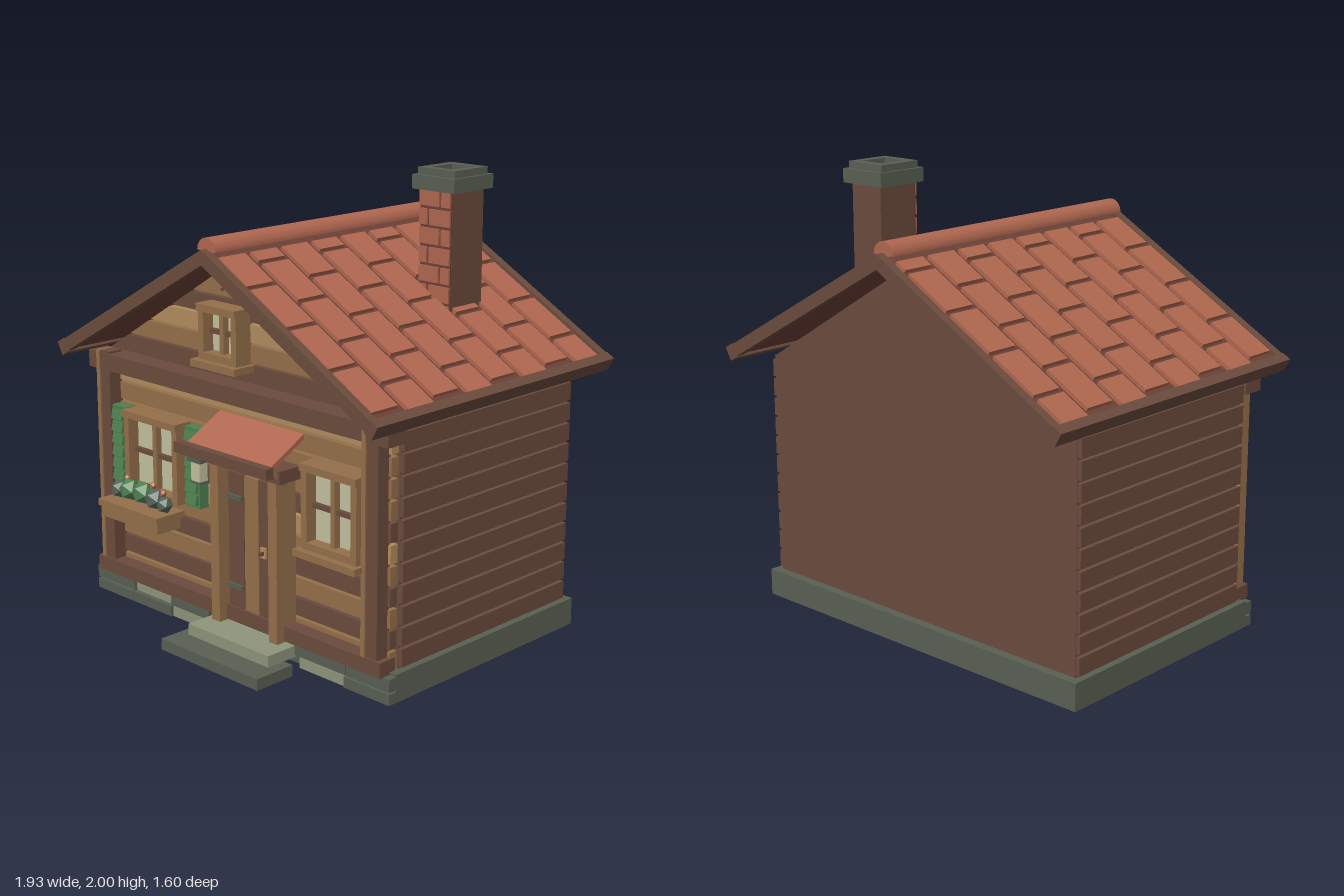
import * as THREE from 'three';

const mat = (name, color) => Object.assign(new THREE.MeshStandardMaterial({ color }), { name });

export function createModel() {
  const house = new THREE.Group();
  house.name = 'cottage';
  const M = {
    dark: mat('dark timber', 0x6b4b3d),
    tan: mat('tan timber', 0x94704a),
    light: mat('pale timber', 0xb08d5e),
    tile: mat('terracotta', 0xb0674f),
    deck: mat('roof underlay', 0x6b4038),
    stone: mat('dark stone', 0x596053),
    pale: mat('pale stone', 0x8f957b),
    green: mat('shutter green', 0x4e8050),
    glass: mat('window cream', 0xc4c19f),
    shrub: mat('shrub grey', 0x53645a),
  };
  const group = (name, parent = house) => {
    const g = new THREE.Group();
    g.name = name;
    parent.add(g);
    return g;
  };
  const add = (name, geo, m, parent = house) => {
    const mesh = new THREE.Mesh(geo, m);
    mesh.name = name;
    parent.add(mesh);
    return mesh;
  };
  // Box given by its limits along each axis
  const box = (name, m, x0, x1, y0, y1, z0, z1, parent) => {
    const mesh = add(name, new THREE.BoxGeometry(x1 - x0, y1 - y0, z1 - z0), m, parent);
    mesh.position.set((x0 + x1) / 2, (y0 + y1) / 2, (z0 + z1) / 2);
    return mesh;
  };
  // Flat outline in x and y, extruded between two depths
  const slab = (name, m, pts, z0, z1, parent) => {
    const shape = new THREE.Shape(pts.map(p => new THREE.Vector2(...p)));
    const mesh = add(name, new THREE.ExtrudeGeometry(shape, { depth: z1 - z0, bevelEnabled: false }), m, parent);
    mesh.position.z = z0;
    return mesh;
  };

  // Foundation, facing stones and steps
  box('foundation', M.stone, -0.91, 0.91, 0.005, 0.125, -0.64, 0.5);
  const stones = group('facingStones');
  [[-0.91, -0.65, 1, 0], [-0.645, -0.405, 1, 1], [-0.4, -0.15, 1, 0], [0.38, 0.67, 1, 0], [0.675, 0.91, 1, 0],
   [-0.91, -0.665, 0, 0], [-0.66, -0.4, 0, 0], [-0.395, -0.12, 0, 1], [0.4, 0.655, 0, 1], [0.66, 0.91, 0, 0]]
    .forEach(([a, b, row, pale]) => box('facingStone', pale ? M.pale : M.stone, a, b,
      row ? 0.06 : 0.005, row ? 0.115 : 0.052, 0.49, pale ? 0.53 : 0.54, stones));
  box('lowerStep', M.stone, -0.16, 0.43, 0, 0.05, 0.6, 0.8);
  box('upperStep', M.pale, -0.11, 0.38, 0.05, 0.1, 0.5, 0.69);

  // Wall core and gable core
  box('wallCore', M.dark, -0.875, 0.875, 0.12, 1.13, -0.6, 0.45);
  slab('gableCore', M.dark, [[-0.87, 1.13], [0.87, 1.13], [0, 1.66]], -0.6, 0.45);

  // Side boards
  const siding = group('sideBoards');
  for (const s of [-1, 1]) for (let i = 0; i < 11; i++) {
    const y = 0.135 + i * 0.0895;
    box('sideBoard', M.dark, s * 0.88 - 0.014, s * 0.88 + 0.014, y, y + 0.077, -0.597, 0.45, siding);
  }

  // Front boards, from the bottom up
  const boards = group('frontBoards');
  [M.tan, M.dark, M.tan, M.dark, M.tan, M.light, M.dark, M.tan, M.tan, M.tan, M.light].forEach((m, i) => {
    const y = 0.123 + i * 0.0895;
    box('frontBoard', m, -0.865, 0.865, y, y + 0.077, 0.44, 0.49, boards);
  });
  const half = y => 0.87 * (1.66 - y) / 0.53;
  [M.dark, M.tan, M.light, M.dark, M.tan, M.light].forEach((m, i) => {
    const y0 = 1.155 + i * 0.0855, y1 = Math.min(y0 + 0.076, 1.658);
    slab('gableBoard', m, [[-half(y0), y0], [half(y0), y0], [half(y1), y1], [-half(y1), y1]], 0.44, 0.49, boards);
  });
  for (const s of [-1, 1]) {
    const bar = box('gableChevron', M.dark, -0.032, 0.032, -0.006, 0.006, 0.485, 0.497);
    bar.position.x = -0.035 + s * 0.026;
    bar.position.y = 1.54;
    bar.rotation.z = -s * 0.6;
  }

  // Timber frame on the front
  box('sillBeam', M.dark, -0.875, 0.875, 0.115, 0.18, 0.47, 0.56);
  box('topBeam', M.dark, -0.905, 0.905, 1.065, 1.14, 0.45, 0.555);
  for (const s of [-1, 1]) {
    const x = s * 0.81;
    box('cornerPost', M.dark, x - 0.04, x + 0.04, 0.12, 1.15, 0.48, 0.55);
    box('cornerPostStrip', M.tan, x - 0.042, x - 0.02, 0.12, 1.15, 0.48, 0.557);
  }

  // Roof slopes: d runs down the slope, n is the height above the rafter line
  const slope = Math.atan(0.563), ridgeY = 1.693;
  const onSlope = (name, m, s, d0, d1, n0, n1, z0, z1, parent) => {
    const mesh = box(name, m, d0, d1, n0, n1, z0, z1, parent);
    const d = (d0 + d1) / 2, n = (n0 + n1) / 2;
    mesh.position.x = s * (d * Math.cos(slope) + n * Math.sin(slope));
    mesh.position.y = ridgeY - d * Math.sin(slope) + n * Math.cos(slope);
    mesh.rotation.z = -s * slope;
  };
  for (const s of [-1, 1]) {
    const roof = group(s > 0 ? 'leftRoof' : 'rightRoof');
    onSlope('roofDeck', M.deck, s, 0, 1.07, -0.02, 0.01, -0.77, 0.65, roof);
    for (const [z0, z1] of [[0.64, 0.68], [-0.8, -0.76]])
      onSlope('rakeBoard', M.dark, s, -0.015, 1.085, -0.0275, 0.0275, z0, z1, roof);
    onSlope('eaveBoard', M.dark, s, 1.045, 1.09, -0.032, 0.032, -0.8, 0.68, roof);
    // Staggered tiles
    for (let row = 0; row < 8; row++) {
      const z = -0.667 + row * 0.1755;
      for (let k = 0; k < 5; k++) {
        const x0 = Math.max(0.04, (row % 2 ? -0.01 : -0.125) + k * 0.225 + 0.01);
        const x1 = Math.min(0.91, (row % 2 ? -0.01 : -0.125) + (k + 1) * 0.225 - 0.01);
        if (x1 - x0 > 0.015) onSlope('roofTile', M.tile, s, x0 / Math.cos(slope), x1 / Math.cos(slope),
          0.008, 0.027, z - 0.0725, z + 0.0725, roof);
      }
    }
  }
  const cap = add('ridgeCap', new THREE.CylinderGeometry(0.055, 0.055, 1.41, 8, 1, false, Math.PI / 2, Math.PI), M.tile);
  cap.material.side = THREE.DoubleSide;
  cap.rotation.x = Math.PI / 2;
  cap.position.set(0, 1.715, -0.055);

  // Chimney with bricks on its front
  const chimney = group('chimney');
  box('chimneyCore', M.dark, 0.36, 0.53, 1.36, 1.92, -0.43, -0.232, chimney);
  box('chimneyMortar', M.deck, 0.361, 0.529, 1.36, 1.915, -0.235, -0.226, chimney);
  for (let i = 0; i < 7; i++) {
    const y = 1.365 + i * 0.08, joint = i % 2 ? 0.41 : 0.475;
    box('brick', M.tile, 0.362, joint - 0.006, y, y + 0.067, -0.23, -0.217, chimney);
    box('brick', M.tile, joint + 0.006, 0.528, y, y + 0.067, -0.23, -0.217, chimney);
  }
  box('chimneyCap', M.stone, 0.33, 0.56, 1.91, 1.97, -0.455, -0.205, chimney);
  box('chimneyRim', M.stone, 0.345, 0.385, 1.97, 2, -0.435, -0.225, chimney);
  box('chimneyRim', M.stone, 0.505, 0.545, 1.97, 2, -0.435, -0.225, chimney);
  box('chimneyRim', M.stone, 0.385, 0.505, 1.97, 2, -0.435, -0.395, chimney);
  box('chimneyRim', M.stone, 0.385, 0.505, 1.97, 2, -0.265, -0.225, chimney);

  // Windows: pane, frame and glazing bars
  const makeWindow = (name, x0, x1, y0, y1, sill) => {
    const g = group(name), w = 0.031, cx = (x0 + x1) / 2, cy = (y0 + y1) / 2;
    box('pane', M.glass, x0 + w, x1 - w, y0 + w, y1 - w, 0.48, 0.515, g);
    for (const x of [x0, x1 - w]) box('frameSide', M.tan, x, x + w, y0, y1, 0.48, 0.57, g);
    box('frameBottom', M.tan, x0 + w, x1 - w, y0, y0 + w, 0.48, 0.57, g);
    box('frameTop', M.tan, x0 - 0.003, x1 + 0.003, y1 - w, y1, 0.48, 0.58, g);
    box('glazingBar', M.tan, cx - 0.012, cx + 0.012, y0 + w, y1 - w, 0.5, 0.545, g);
    box('glazingBar', M.dark, x0 + w, x1 - w, cy - 0.01, cy + 0.01, 0.5, 0.535, g);
    if (sill) box('windowSill', M.tan, x0 - 0.02, x1 + 0.02, y0 - 0.03, y0, 0.48, 0.6, g);
  };
  makeWindow('rightWindow', -0.655, -0.305, 0.55, 0.915, false);
  makeWindow('leftWindow', 0.45, 0.755, 0.555, 0.915, true);
  makeWindow('gableWindow', -0.15, 0.08, 1.235, 1.47, true);

  // Shutters
  for (const x of [-0.725, -0.238]) {
    const g = group('shutter');
    box('shutterPanel', M.green, x - 0.045, x + 0.045, 0.555, 0.91, 0.49, 0.54, g);
    for (let i = 0; i < 6; i++) {
      const slat = box('shutterSlat', M.green, x - 0.035, x + 0.035, 0.57 + i * 0.056, 0.614 + i * 0.056, 0.535, 0.553, g);
      slat.rotation.x = -0.2;
    }
  }

  // Flower box and planting
  const planter = group('flowerBox');
  box('planterBody', M.tan, -0.66, -0.3, 0.45, 0.51, 0.56, 0.69, planter);
  box('planterRim', M.tan, -0.68, -0.285, 0.5, 0.53, 0.55, 0.705, planter);
  [[-0.625, 0.57, 0.042, M.shrub], [-0.55, 0.585, 0.052, M.green], [-0.46, 0.59, 0.054, M.green],
   [-0.38, 0.58, 0.05, M.shrub], [-0.32, 0.567, 0.038, M.shrub]].forEach(([x, y, r, m]) =>
    add('bush', new THREE.IcosahedronGeometry(r, 0), m, planter).position.set(x, y, 0.63));
  [[-0.585, 0.625], [-0.5, 0.6], [-0.41, 0.63], [-0.345, 0.61]].forEach(([x, y]) =>
    add('flower', new THREE.IcosahedronGeometry(0.017, 0), M.tile, planter).position.set(x, y, 0.615));

  // Door with frame and fittings
  const door = group('door');
  for (const x of [-0.06, 0.29]) box('doorPost', M.tan, x, x + 0.05, 0.11, 0.81, 0.49, 0.6, door);
  box('doorLintel', M.dark, -0.085, 0.37, 0.81, 0.865, 0.49, 0.61, door);
  box('doorBack', M.dark, -0.01, 0.29, 0.17, 0.81, 0.48, 0.515, door);
  [[0, 0.093, M.dark], [0.097, 0.18, M.tan], [0.184, 0.275, M.dark]].forEach(([a, b, m]) =>
    box('doorPlank', m, a, b, 0.18, 0.775, 0.5, 0.55, door));
  for (const y of [0.275, 0.67]) box('hinge', M.stone, 0, 0.085, y - 0.01, y + 0.01, 0.545, 0.56, door);
  box('latchPlate', M.light, 0.2, 0.232, 0.445, 0.49, 0.545, 0.56, door);
  box('latchKnob', M.dark, 0.21, 0.223, 0.46, 0.475, 0.555, 0.58, door);

  // Porch roof with brackets
  const porch = group('porch');
  const panel = box('porchRoof', M.tile, -0.11, 0.39, -0.01, 0.01, -0.13, 0.13, porch);
  panel.position.y = 0.935;
  panel.position.z = 0.598;
  panel.rotation.x = 0.49;
  box('porchFascia', M.dark, -0.14, 0.415, 0.865, 0.91, 0.685, 0.725, porch);
  for (const x of [-0.06, 0.34]) {
    const strut = box('porchBracket', M.tan, x - 0.02, x + 0.02, -0.015, 0.015, -0.085, 0.085, porch);
    strut.position.y = 0.85;
    strut.position.z = 0.62;
    strut.rotation.x = -0.6;
  }

  // Wall lantern
  const lantern = group('lantern');
  box('lanternGlass', M.glass, -0.125, -0.072, 0.725, 0.815, 0.6, 0.645, lantern);
  box('lanternCap', M.stone, -0.14, -0.058, 0.812, 0.84, 0.59, 0.655, lantern);
  box('lanternBase', M.stone, -0.128, -0.068, 0.717, 0.727, 0.597, 0.648, lantern);
  box('lanternArm', M.stone, -0.108, -0.09, 0.82, 0.838, 0.48, 0.6, lantern);

  return house;
}
